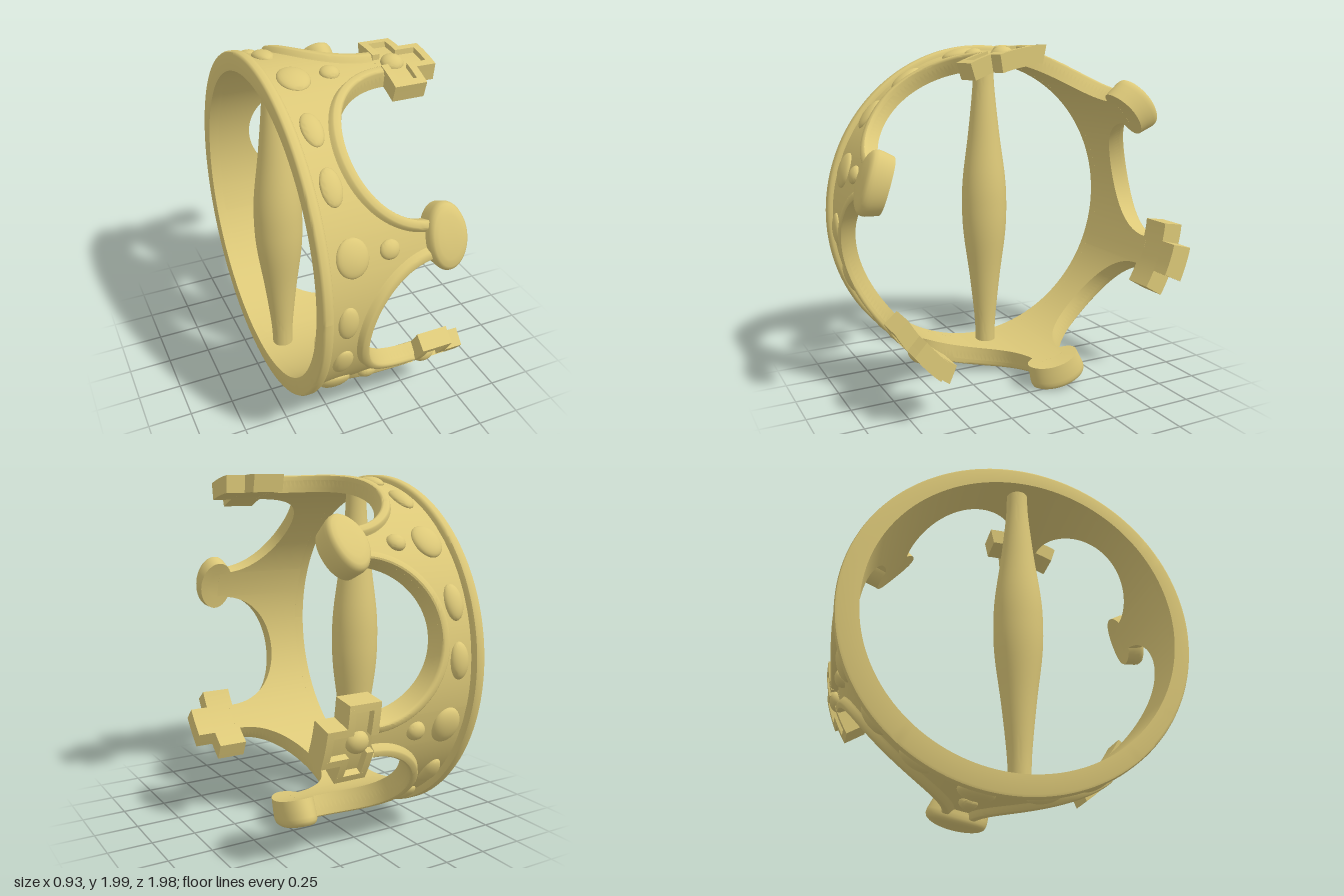
import * as THREE from 'three';
import { mergeGeometries, toCreasedNormals } from 'three/addons/utils/BufferGeometryUtils.js';

const R = 0.98;                 // radius at which arc length s is measured
const CY = 1.02, CZ = -0.01;    // axis of the band, which runs along x
const STEP = Math.PI / 3, FIRST = THREE.MathUtils.degToRad(18);
const INNER = 0.875, FLOOR = 0.95, RIM = 0.982;

// Wraps a flat part (x, arc length s, radius r) around the axis, centred on an angle
function bend(geometry, angle) {
  const g = geometry.clone();
  const p = g.attributes.position;
  for (let i = 0; i < p.count; i++) {
    const a = angle + p.getY(i) / R, r = p.getZ(i);
    const e = THREE.MathUtils.clamp((R - r) / (R - INNER), 0, 1); // bore is slightly off centre
    p.setXYZ(i, p.getX(i), CY + 0.01 * e + r * Math.sin(a), CZ + 0.018 * e + r * Math.cos(a));
  }
  return g;
}

// Joins successive cross-sections of equal length
function loft(rows) {
  const n = rows[0].length, index = [];
  for (let i = 0; i < rows.length - 1; i++) {
    for (let j = 0; j < n - 1; j++) {
      const a = i * n + j, b = a + 1, c = a + n, d = c + 1;
      index.push(a, b, d, a, d, c);
    }
  }
  const g = new THREE.BufferGeometry();
  g.setAttribute('position', new THREE.Float32BufferAttribute(rows.flat(2), 3));
  g.setIndex(index);
  return g;
}

function strip(g) {
  g.deleteAttribute('uv');
  g.deleteAttribute('normal');
  return g;
}

const dome = (x, s, rx, rs, h, r = FLOOR) =>
  strip(new THREE.SphereGeometry(1, 24, 16).scale(rx, rs, h).translate(x, s, r));

function block(x0, x1, s0, s1, r0, r1) {
  const n = Math.max(1, Math.ceil((s1 - s0) / 0.04));
  return strip(new THREE.BoxGeometry(x1 - x0, s1 - s0, r1 - r0, 1, n, 1)
    .translate((x0 + x1) / 2, (s0 + s1) / 2, (r0 + r1) / 2));
}

// Elliptical arch between two points of the crown
const ARCH = { x: 0.17, a: 0.37, b: 0.415, n: 48 };
const archAngles = Array.from({ length: ARCH.n + 1 }, (_, i) => (i / ARCH.n - 0.5) * Math.PI);

// One sixth of the wall, centred on an arch
function wallSegment() {
  const half = R * STEP / 2;
  const columns = archAngles.map(t => [ARCH.b * Math.sin(t), ARCH.x - ARCH.a * Math.cos(t)]);
  columns.unshift([-half, 0.2], [-ARCH.b - 0.003, 0.2]);
  columns.push([ARCH.b + 0.003, 0.2], [half, 0.2]);
  return loft(columns.map(([s, top]) =>
    [[-0.41, s, FLOOR], [top, s, FLOOR], [top, s, INNER], [-0.41, s, INNER]]));
}

// Raised border following the arch
function archRim() {
  const profile = [[0.065, 0.945], [0.055, 0.958], [0.045, 0.977], [0.037, RIM],
    [0.01, RIM], [0.002, 0.976], [0, 0.966], [0, 0.9]];
  return loft(archAngles.map(t => {
    const nx = -Math.cos(t) / ARCH.a, ns = Math.sin(t) / ARCH.b, l = Math.hypot(nx, ns);
    return profile.map(([off, r]) => [
      ARCH.x - ARCH.a * Math.cos(t) + off * nx / l,
      ARCH.b * Math.sin(t) + off * ns / l, r]);
  }));
}

// Flange at the open base
function baseFlange() {
  const profile = [[-0.465, INNER], [-0.465, 0.968], [-0.461, 0.979], [-0.452, 0.984],
    [-0.422, 0.984], [-0.412, 0.979], [-0.407, 0.968], [-0.402, 0.945], [-0.402, INNER], [-0.465, INNER]];
  const rows = [];
  for (let i = 0; i <= 144; i++) {
    rows.push(profile.map(([x, r]) => [x, i / 144 * Math.PI * 2 * R, r]));
  }
  return loft(rows);
}

// Rounded knob on alternate points
function knob() {
  const pts = [[0, INNER], [0.5, INNER], [1, INNER], [1, 0.92], [1, 0.965], [0.98, 0.985],
    [0.92, 1.002], [0.82, 1.011], [0.6, 1.015], [0.3, 1.016], [0, 1.016]];
  const g = new THREE.LatheGeometry(pts.map(p => new THREE.Vector2(...p)), 48);
  return strip(g.rotateX(Math.PI / 2).scale(0.107, 0.178, 1).translate(0.213, 0, 0));
}

// Cross with a raised border and a central stud
function crossParts() {
  const parts = [
    block(0.175, 0.355, -0.225, 0.225, INNER, FLOOR),
    block(0.35, 0.465, -0.105, 0.105, INNER, FLOOR),
    block(0.425, 0.465, -0.105, 0.105, 0.94, RIM),
    dome(0.265, 0, 0.062, 0.062, 0.045)
  ];
  const mirrored = (x0, x1, s0, s1) => parts.push(
    block(x0, x1, s0, s1, 0.94, RIM), block(x0, x1, -s1, -s0, 0.94, RIM));
  mirrored(0.175, 0.355, 0.185, 0.225);
  mirrored(0.175, 0.215, 0.05, 0.2);
  mirrored(0.315, 0.355, 0.065, 0.2);
  mirrored(0.34, 0.44, 0.065, 0.105);
  return parts;
}

export function createModel() {
  const group = new THREE.Group();
  const material = new THREE.MeshStandardMaterial({ color: 0xdcc878, side: THREE.DoubleSide });
  const add = (name, geometries, crease = 0.7) => {
    const mesh = new THREE.Mesh(toCreasedNormals(mergeGeometries(geometries), crease), material);
    mesh.name = name;
    group.add(mesh);
  };
  const points = [0, 1, 2, 3, 4, 5].map(i => FIRST + i * STEP);
  const arches = points.map(a => a + STEP / 2);

  // Band
  const wall = wallSegment(), rim = archRim();
  add('bandWall', arches.map(a => bend(wall, a)));
  add('archRims', arches.map(a => bend(rim, a)));
  add('baseFlange', [bend(baseFlange(), 0)]);

  // Gems: a large and a small one below each point, two ovals below each arch
  const large = dome(-0.285, 0, 0.085, 0.105, 0.035);
  const small = dome(-0.09, 0, 0.053, 0.053, 0.035);
  const oval = dome(-0.322, 0, 0.055, 0.1, 0.032);
  const tilt = THREE.MathUtils.degToRad(9);
  add('largeGems', points.map(a => bend(large, a)));
  add('smallGems', points.map(a => bend(small, a)));
  add('ovalGems', arches.flatMap(a => [bend(oval, a - tilt), bend(oval, a + tilt)]));

  // Alternating knobs and crosses
  const knobShape = knob(), cross = crossParts();
  points.forEach((a, i) => {
    if (i % 2 === 0) add('knob', [bend(knobShape, a)], 0.8);
    else add('cross', cross.map(g => bend(g, a)), 0.6);
  });

  // Spindle-shaped pin across the base
  const profile = new THREE.SplineCurve([[0.06, 0.13], [0.066, 0.3], [0.095, 0.58], [0.13, 0.85],
    [0.138, 1.03], [0.13, 1.21], [0.095, 1.48], [0.066, 1.76], [0.06, 1.93]]
    .map(p => new THREE.Vector2(...p))).getPoints(48);
  const pin = new THREE.LatheGeometry(
    [new THREE.Vector2(0, 0.13), ...profile, new THREE.Vector2(0, 1.93)], 40);
  add('crossPin', [strip(pin.translate(-0.33, 0, 0.012))]);
  return group;
}
